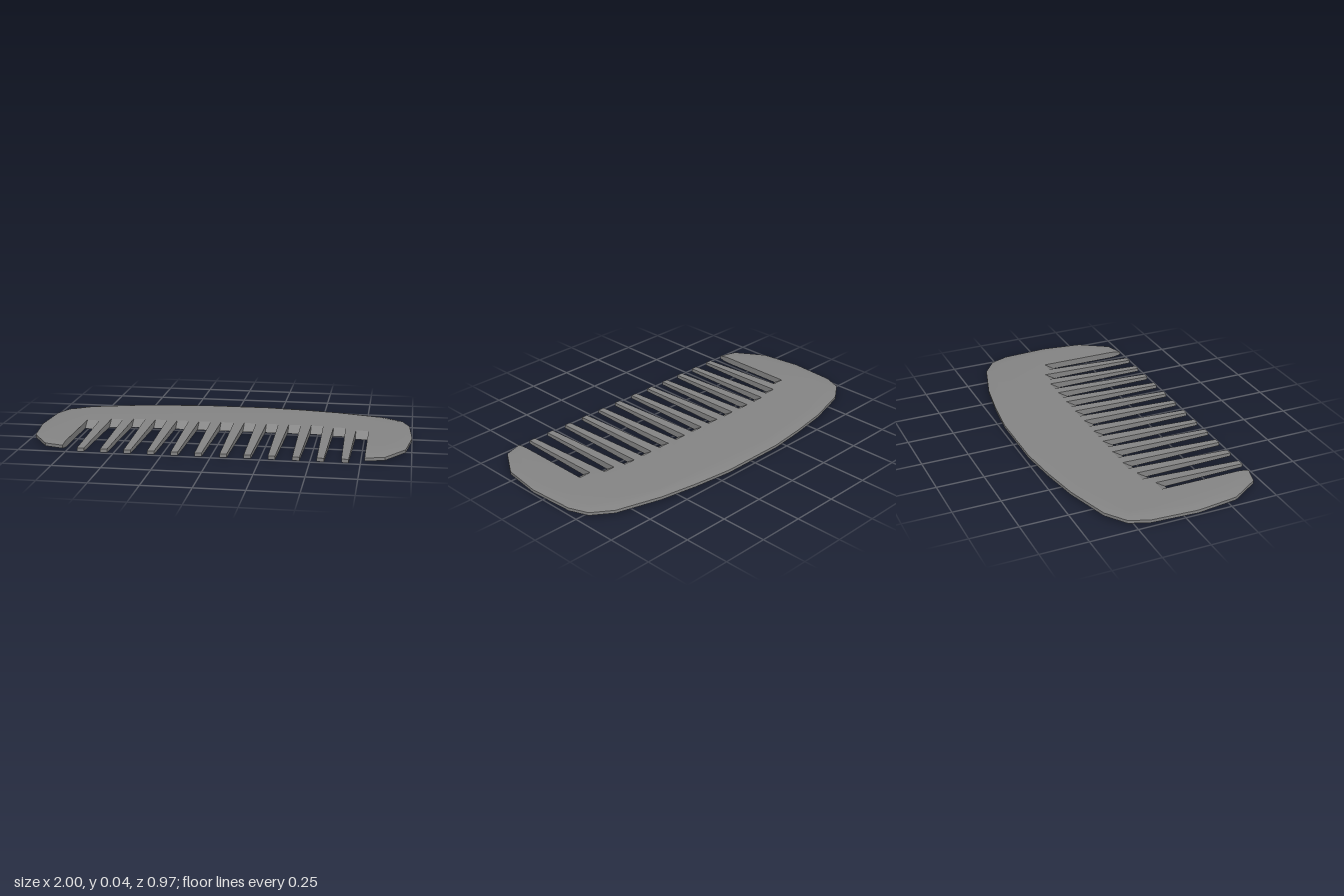
import * as THREE from 'three';
import { toCreasedNormals } from 'three/addons/utils/BufferGeometryUtils.js';

const HEIGHT = 0.035;
const TIP_Z = 0.484;
const NOTCH = 0.055; // how far the gap roots slope back toward the top face

// Right half of the rounded rim, from the back middle to the end of the arm [x, z]
const RIM = [
  [0.18, -0.484], [0.39, -0.46], [0.6, -0.425], [0.84, -0.355], [0.945, -0.28],
  [0.985, -0.18], [1, 0.07], [0.97, 0.29], [0.87, 0.445], [0.77, 0.475],
];
// Root depth of the gaps, from the middle outward
const GAP_Z = [-0.025, -0.025, -0.025, -0.025, -0.025, -0.005, 0.04];

// Height levels: [y, amount of rim inset], giving the softened outer edge
const LEVELS = [[0, 1], [0.003, 0.5], [0.01, 0], [0.026, 0], [0.032, 0.5], [HEIGHT, 1]];

// Closed comb outline, each point tagged by what it belongs to
function combOutline() {
  const half = RIM.map(([x, z]) => ({ x, z, kind: 'rim' }));
  half.push({ x: 0.77, z: GAP_Z[6], kind: 'root' });
  for (let i = 5; i >= 0; i--) {
    const c = 0.064 + 0.122 * i;
    half.push(
      { x: c + 0.029, z: GAP_Z[i + 1], kind: 'root' },
      { x: c + 0.018, z: TIP_Z, kind: 'tip' },
      { x: c - 0.018, z: TIP_Z, kind: 'tip' },
      { x: c - 0.029, z: GAP_Z[i], kind: 'root' },
    );
  }
  const mirrored = half.map((p) => ({ ...p, x: -p.x })).reverse();
  return [...half, ...mirrored];
}

// Moves one outline point to its place at a height level
function place({ x, z, kind }, [y, inset]) {
  if (kind === 'root') return [x, y, z - NOTCH * (y / HEIGHT)];
  if (kind === 'tip') return [x, y * 0.53, z];
  const innerCorner = Math.abs(x) === 0.77;
  return [innerCorner ? x : x * (1 - 0.06 * inset), y, z * (1 - 0.13 * inset)];
}

function combGeometry() {
  const outline = combOutline();
  const n = outline.length;
  const rings = LEVELS.map((level) => outline.map((p) => place(p, level)));
  const index = [];

  // Walls between neighbouring levels
  for (let k = 0; k < rings.length - 1; k++) {
    for (let i = 0; i < n; i++) {
      const j = (i + 1) % n;
      const a = k * n + i, b = k * n + j, c = a + n, d = b + n;
      index.push(a, c, b, b, c, d);
    }
  }

  // Flat bottom and top faces
  const cap = (k, up) => {
    const flat = rings[k].map(([x, , z]) => new THREE.Vector2(x, -z));
    for (const [a, b, c] of THREE.ShapeUtils.triangulateShape(flat, [])) {
      const ccw = THREE.ShapeUtils.area([flat[a], flat[b], flat[c]]) > 0;
      const tri = ccw === up ? [a, b, c] : [a, c, b];
      index.push(...tri.map((v) => v + k * n));
    }
  };
  cap(0, false);
  cap(rings.length - 1, true);

  const geometry = new THREE.BufferGeometry();
  geometry.setAttribute('position', new THREE.Float32BufferAttribute(rings.flat(2), 3));
  geometry.setIndex(index);
  return toCreasedNormals(geometry, 0.5);
}

export function createModel() {
  const group = new THREE.Group();
  group.name = 'comb';
  const comb = new THREE.Mesh(combGeometry(), new THREE.MeshStandardMaterial({ color: 0x848484 }));
  comb.name = 'combBodyAndTeeth';
  group.add(comb);
  return group;
}
